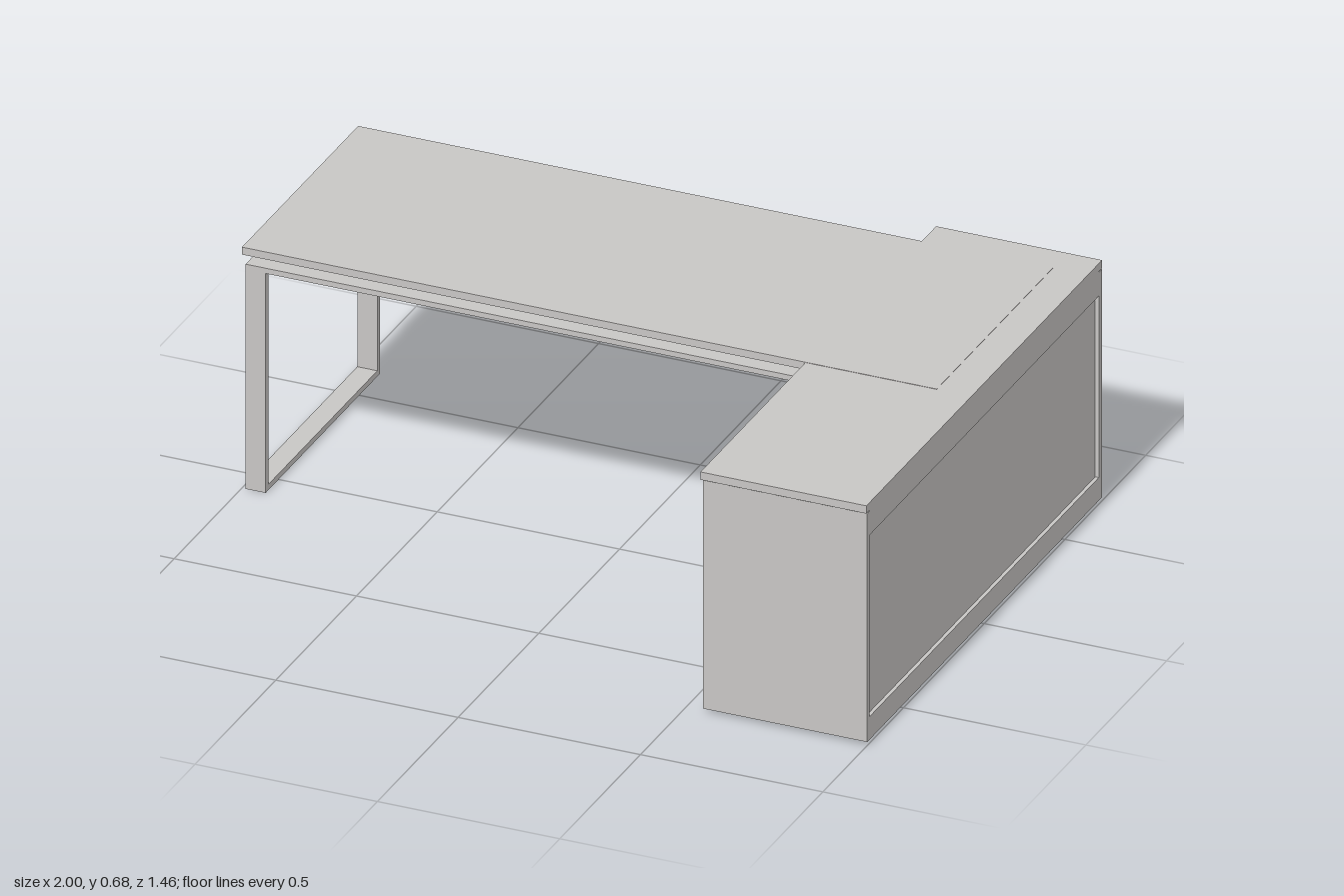
import * as THREE from 'three';

export function createModel() {
  const desk = new THREE.Group();
  desk.name = 'cornerDesk';
  const grey = new THREE.MeshStandardMaterial({ color: 0xc8c6c4 });
  grey.name = 'light grey';

  // Box given by its lower and upper corner
  const box = (name, parent, [x0, y0, z0], [x1, y1, z1]) => {
    const mesh = new THREE.Mesh(new THREE.BoxGeometry(x1 - x0, y1 - y0, z1 - z0), grey);
    mesh.position.set((x0 + x1) / 2, (y0 + y1) / 2, (z0 + z1) / 2);
    mesh.name = name;
    parent.add(mesh);
    return mesh;
  };
  const group = (name) => {
    const g = new THREE.Group();
    g.name = name;
    desk.add(g);
    return g;
  };

  // Worktop, lying over the cabinet at its right end
  box('worktop', desk, [-1, 0.66, -0.64], [0.905, 0.681, 0.08]);

  // Support frame: upright rear beam and flat front beam
  const frame = group('supportFrame');
  box('rearBeam', frame, [-0.94, 0.585, -0.63], [0.55, 0.635, -0.612]);
  box('frontBeam', frame, [-0.94, 0.62, 0.03], [0.55, 0.635, 0.08]);

  // Closed loop leg of flat bar
  const leg = new THREE.Shape();
  leg.moveTo(-0.08, 0).lineTo(0.63, 0).lineTo(0.63, 0.635).lineTo(-0.08, 0.635).closePath();
  const opening = new THREE.Path();
  opening.moveTo(-0.062, 0.016).lineTo(-0.062, 0.62).lineTo(0.612, 0.62).lineTo(0.612, 0.016).closePath();
  leg.holes.push(opening);
  // Profiles are drawn in (-z, y) and extruded along x
  const alongX = (name, shape, x0, x1) => {
    const geo = new THREE.ExtrudeGeometry(shape, { depth: x1 - x0, bevelEnabled: false });
    geo.rotateY(Math.PI / 2);
    const mesh = new THREE.Mesh(geo, grey);
    mesh.position.x = x0;
    mesh.name = name;
    frame.add(mesh);
  };
  alongX('loopLeg', leg, -0.99, -0.935);

  // Modesty panel: flat in front, sawtooth ribs behind
  const panel = new THREE.Shape();
  const ribs = 14, bottom = 0.285, pitch = (0.62 - bottom) / ribs;
  panel.moveTo(0.56, 0.62).lineTo(0.56, bottom);
  for (let i = 0; i < ribs; i++) {
    panel.lineTo(0.582, bottom + i * pitch);
    panel.lineTo(0.57, bottom + (i + 1) * pitch);
  }
  panel.closePath();
  alongX('modestyPanel', panel, -0.74, 0.32);

  // Side cabinet: top, end plates, rails and a raised floor
  const cabinet = group('sideCabinet');
  box('cabinetTop', cabinet, [0.545, 0.658, -0.73], [1, 0.68, 0.73]);
  box('frontPlate', cabinet, [0.55, 0.01, 0.71], [1, 0.655, 0.725]);
  box('backPlate', cabinet, [0.55, 0.01, -0.73], [1, 0.655, -0.71]);
  box('cabinetFloor', cabinet, [0.56, 0.065, -0.71], [0.99, 0.075, 0.71]);
  for (const [side, x0, x1] of [['inner', 0.55, 0.568], ['outer', 0.982, 1]]) {
    box(side + 'TopRail', cabinet, [x0, 0.588, -0.71], [x1, 0.658, 0.71]);
    box(side + 'Plinth', cabinet, [x0, 0.01, -0.71], [x1, 0.075, 0.71]);
  }
  box('outerSidePanel', cabinet, [0.975, 0.075, -0.71], [0.99, 0.588, 0.71]);
  box('innerSidePanel', cabinet, [0.562, 0.075, -0.71], [0.575, 0.588, 0.71]);

  // Three drawers with slim bar handles
  const drawers = group('drawers');
  for (let i = 0; i < 3; i++) {
    const y = 0.078 + i * 0.17;
    box('drawerFront', drawers, [0.55, y, 0.258], [0.565, y + 0.165, 0.707]);
    box('drawerHandle', drawers, [0.537, y + 0.149, 0.38], [0.543, y + 0.157, 0.59]);
    for (const z of [0.38, 0.582])
      box('handlePost', drawers, [0.54, y + 0.149, z], [0.552, y + 0.157, z + 0.008]);
  }
  return desk;
}
